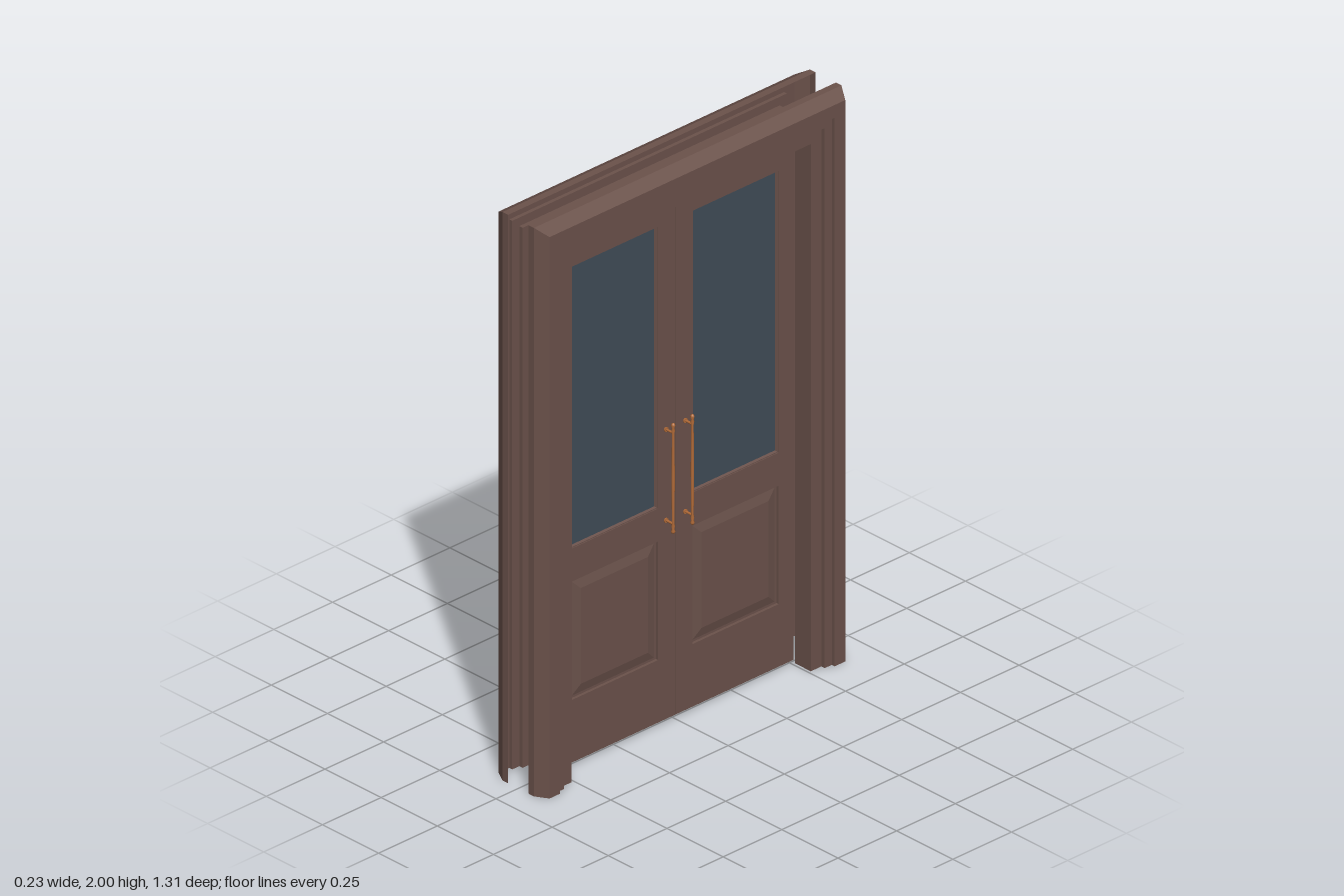
import * as THREE from 'three';

export function createModel() {
  const model = new THREE.Group();
  const mat = (name, color, side = THREE.FrontSide) => {
    const m = new THREE.MeshStandardMaterial({ color, side });
    m.name = name;
    return m;
  };
  const wood = mat('brownWood', 0x6b524b, THREE.DoubleSide);
  const glass = mat('darkBlueGlass', 0x404c58);
  const copper = mat('copper', 0xb06a38);

  const add = (parent, name, geometry, material, x = 0, y = 0, z = 0) => {
    const mesh = new THREE.Mesh(geometry, material);
    mesh.name = name;
    mesh.position.set(x, y, z);
    parent.add(mesh);
    return mesh;
  };

  // Flat-shaded surface through successive rows of points
  const loft = (rows) => {
    const pos = [];
    for (let i = 0; i < rows.length - 1; i++) {
      for (let j = 0; j < rows[i].length - 1; j++) {
        const a = rows[i][j], b = rows[i][j + 1], c = rows[i + 1][j + 1], d = rows[i + 1][j];
        pos.push(...a, ...b, ...c, ...a, ...c, ...d);
      }
    }
    const g = new THREE.BufferGeometry();
    g.setAttribute('position', new THREE.Float32BufferAttribute(pos, 3));
    g.computeVertexNormals();
    return g;
  };

  // Stepped casing: [distance from door face plane, offset out of the opening]
  const casingProfile = [
    [0.045, 0.15], [0.07, 0.15], [0.113, 0.125], [0.113, 0.08], [0.1, 0.08],
    [0.1, 0.05], [0.085, 0.05], [0.085, 0.005], [0.015, 0.005],
  ];
  const halfOpening = 0.505, openingTop = 1.85;
  const casing = (s) => loft(casingProfile.map(([x, o]) => {
    const z = halfOpening + o, y = openingTop + o;
    const row = [[s * x, 0, z], [s * x, y, z], [s * x, y, -z], [s * x, 0, -z]];
    return s > 0 ? row : row.reverse();
  }));
  add(model, 'casingLeft', casing(1), wood);
  add(model, 'casingRight', casing(-1), wood);

  // Rectangular ring moulding or raised panel, as nested loops [x, inset]
  const nested = (s, w, h, steps) => loft(steps.map(([x, inset]) => {
    const a = w / 2 - inset, b = h / 2 - inset;
    const row = [[s * x, -b, a], [s * x, -b, -a], [s * x, b, -a], [s * x, b, a], [s * x, -b, a]];
    return s > 0 ? row : row.reverse();
  }));

  const rect = (target, z0, z1, y0, y1) => {
    target.moveTo(z0, y0);
    target.lineTo(z1, y0);
    target.lineTo(z1, y1);
    target.lineTo(z0, y1);
    target.closePath();
    return target;
  };

  // Handle bar with two posts, collars and turned end knobs
  const handle = (s) => {
    const g = new THREE.Group();
    const barX = s * 0.048;
    const profile = [
      [0, -0.195], [0.005, -0.192], [0.007, -0.186], [0.004, -0.178], [0.006, -0.168],
      [0.004, -0.158], [0.0055, 0], [0.004, 0.158], [0.006, 0.168], [0.004, 0.178],
      [0.007, 0.186], [0.005, 0.192], [0, 0.195],
    ].map(([r, y]) => new THREE.Vector2(r, y));
    add(g, 'handleBar', new THREE.LatheGeometry(profile, 12), copper, barX, 0.875, 0);
    for (const y of [0.715, 1.035]) {
      const post = add(g, 'handlePost', new THREE.CylinderGeometry(0.004, 0.004, 0.035, 10), copper, s * 0.031, y, 0);
      const rose = add(g, 'handleRose', new THREE.CylinderGeometry(0.008, 0.008, 0.004, 12), copper, s * 0.017, y, 0);
      post.rotation.z = rose.rotation.z = Math.PI / 2;
    }
    return g;
  };

  const glassZ = 0.257, openW = 0.366;
  for (const side of [1, -1]) {
    const door = new THREE.Group();
    door.name = side > 0 ? 'frontDoorLeaf' : 'backDoorLeaf';
    model.add(door);

    // Leaf with a window opening and a lower panel opening
    const lo = side > 0 ? 0.001 : -0.503, hi = side > 0 ? 0.503 : -0.001;
    const c = side * glassZ;
    const shape = rect(new THREE.Shape(), lo, hi, 0.015, 1.848);
    shape.holes.push(rect(new THREE.Path(), c - openW / 2, c + openW / 2, 0.768, 1.76));
    shape.holes.push(rect(new THREE.Path(), c - openW / 2, c + openW / 2, 0.235, 0.652));
    const leaf = new THREE.ExtrudeGeometry(shape, { depth: 0.03, bevelEnabled: false });
    leaf.translate(0, 0, -0.015);
    leaf.rotateY(-Math.PI / 2);
    add(door, 'doorLeaf', leaf, wood);

    add(door, 'windowGlass', new THREE.BoxGeometry(0.008, 0.99, openW), glass, 0, 1.264, c);
    add(door, 'panelCore', new THREE.BoxGeometry(0.006, 0.417, openW), wood, 0, 0.4435, c);

    for (const s of [1, -1]) {
      // Thin bead around the glass
      add(door, 'glassBead', nested(s, openW, 0.992, [[0.012, 0], [0.012, 0.003], [0.004, 0.006]]), wood, 0, 1.264, c);
      // Raised field of the lower panel
      add(door, 'raisedPanel', nested(s, openW, 0.417, [[0.005, 0], [0.005, 0.008], [0.012, 0.04]]), wood, 0, 0.4435, c);
      add(door, 'panelField', new THREE.BoxGeometry(0.003, 0.337, openW - 0.08), wood, s * 0.0105, 0.4435, c);

      const pull = handle(s);
      pull.name = 'doorHandle';
      pull.position.z = side * 0.041;
      door.add(pull);
    }
  }
  return model;
}
